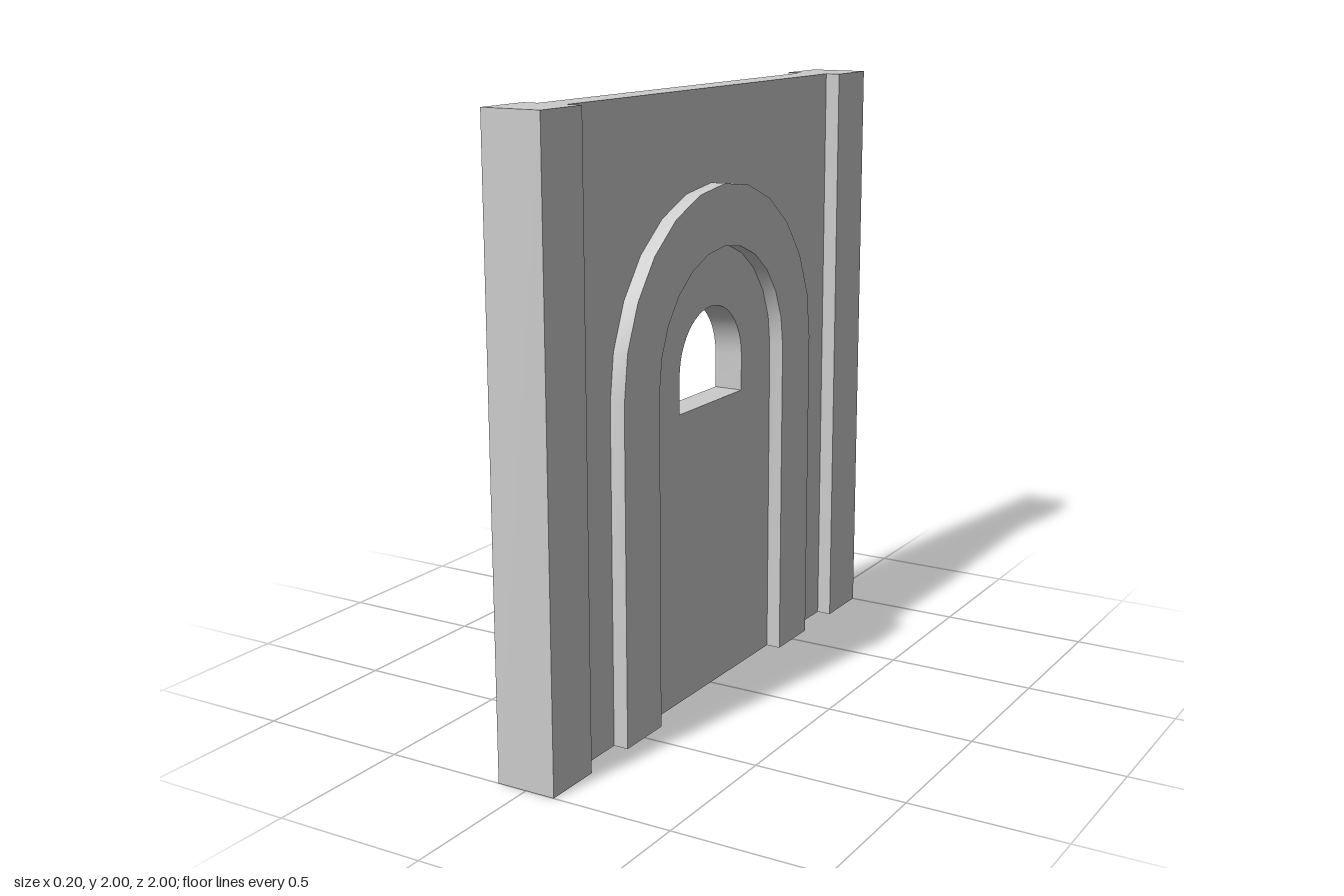
import * as THREE from 'three';
import { toCreasedNormals } from 'three/addons/utils/BufferGeometryUtils.js';

const SPRING = 1.1; // height where every arch starts to curve

// Traces a round-topped opening, up one side and down the other
function archOutline(path, radius, bottom) {
  path.moveTo(radius, bottom);
  path.lineTo(radius, SPRING);
  path.absarc(0, SPRING, radius, 0, Math.PI, false);
  path.lineTo(-radius, bottom);
  path.closePath();
  return path;
}

// Extrudes a profile through the wall's thickness, centred on x
function slab(shape, depth, curveSegments) {
  const geometry = new THREE.ExtrudeGeometry(shape, { depth, curveSegments, bevelEnabled: false });
  geometry.translate(0, 0, -depth / 2);
  geometry.rotateY(-Math.PI / 2);
  return toCreasedNormals(geometry, 0.5);
}

export function createModel() {
  const model = new THREE.Group();
  model.name = 'archedWall';
  const stone = new THREE.MeshStandardMaterial({ color: 0xcccccc });
  stone.name = 'lightGreyStone';

  function add(name, geometry, x = 0, y = 0, z = 0) {
    const mesh = new THREE.Mesh(geometry, stone);
    mesh.name = name;
    mesh.position.set(x, y, z);
    model.add(mesh);
  }

  // Thin wall with a round-topped window
  const wall = new THREE.Shape();
  wall.moveTo(-0.8, 0);
  wall.lineTo(0.8, 0);
  wall.lineTo(0.8, 2);
  wall.lineTo(-0.8, 2);
  wall.closePath();
  wall.holes.push(archOutline(new THREE.Path(), 0.2, 0.98));
  add('wallPanel', slab(wall, 0.1, 12));

  // Raised arch band, open at the ground
  const band = new THREE.Shape();
  band.moveTo(0.6, 0);
  band.lineTo(0.6, SPRING);
  band.absarc(0, SPRING, 0.6, 0, Math.PI, false);
  band.lineTo(-0.6, 0);
  band.lineTo(-0.4, 0);
  band.lineTo(-0.4, SPRING);
  band.absarc(0, SPRING, 0.4, Math.PI, 0, true);
  band.lineTo(0.4, 0);
  band.closePath();
  const bandGeometry = slab(band, 0.05, 6);

  // Square pillars at both ends, arch bands on both faces
  const pillar = new THREE.BoxGeometry(0.2, 2, 0.2);
  for (const side of [1, -1]) {
    add(side > 0 ? 'frontPillar' : 'backPillar', pillar, 0, 1, side * 0.9);
    add(side > 0 ? 'leftArchBand' : 'rightArchBand', bandGeometry, side * 0.075);
  }
  return model;
}
